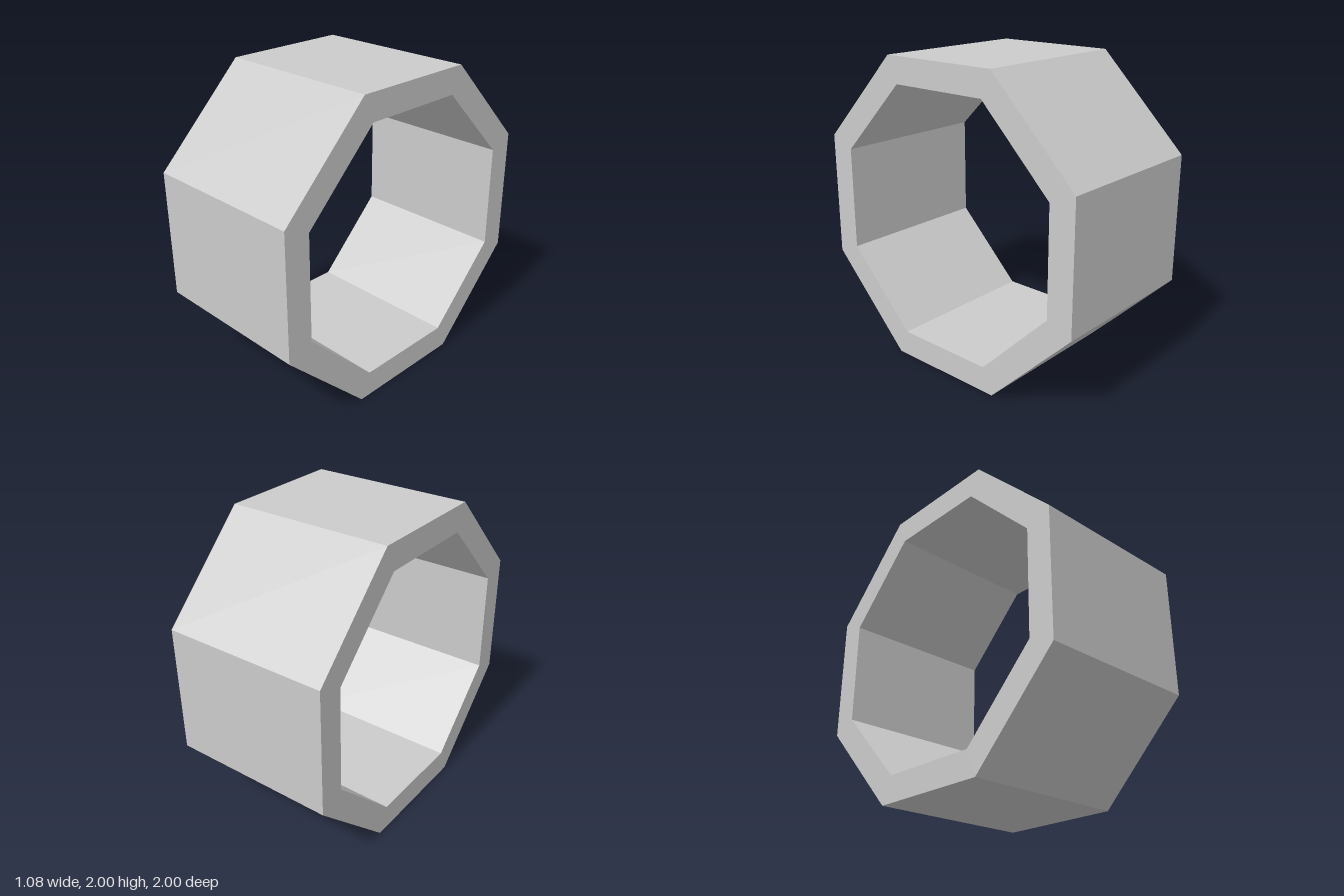
import * as THREE from 'three';

const SIDES = 8;
const WIDTH = 1.08;

// Corners of a regular octagon with flat top and bottom, given its centre-to-side distance
function octagon(apothem) {
  const radius = apothem / Math.cos(Math.PI / SIDES);
  return Array.from({ length: SIDES }, (_, i) => {
    const a = ((i + 0.5) / SIDES) * Math.PI * 2;
    return new THREE.Vector2(Math.cos(a) * radius, Math.sin(a) * radius);
  });
}

export function createModel() {
  const group = new THREE.Group();
  group.name = 'octagonalBand';

  // Octagonal ring with an open centre, extruded along its axis
  const profile = new THREE.Shape(octagon(1));
  profile.holes.push(new THREE.Path(octagon(0.83).reverse()));
  const geometry = new THREE.ExtrudeGeometry(profile, { depth: WIDTH, bevelEnabled: false });

  // Centre the width, lay the axis along x and stand the ring on the ground
  geometry.translate(0, 0, -WIDTH / 2);
  geometry.rotateY(Math.PI / 2);
  geometry.translate(0, 1, 0);

  const material = new THREE.MeshStandardMaterial({ color: 0xcccccc, flatShading: true });
  const ring = new THREE.Mesh(geometry, material);
  ring.name = 'ring';
  group.add(ring);
  return group;
}
